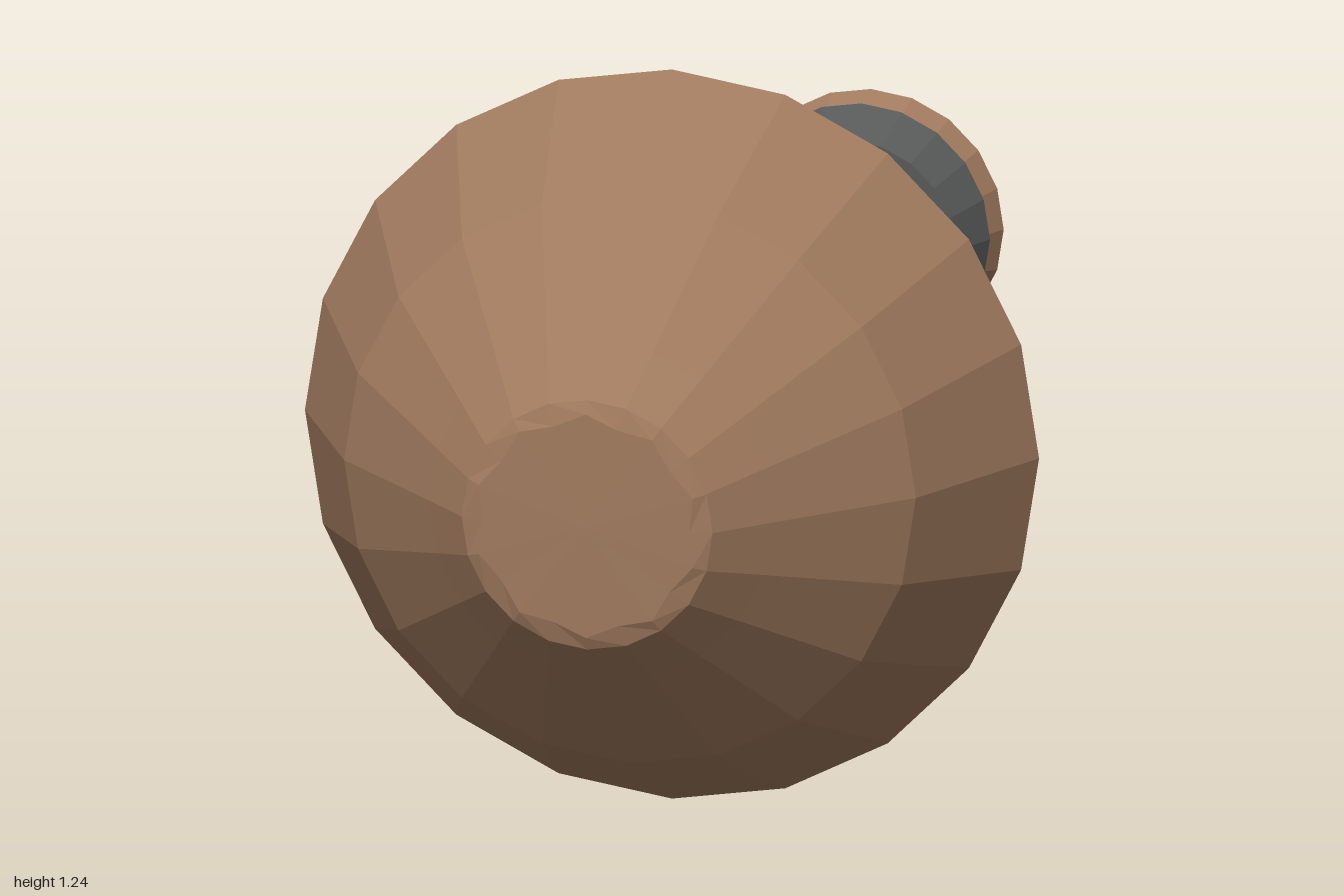
import * as THREE from 'three';

const SIDES = 20;
const AXIS_Y = 0.62;

// Turn a [z, radius] profile (listed back to front) around the long axis.
function turned(name, profile, color, scallopRings = []) {
  const points = profile.map(([z, r]) => new THREE.Vector2(r, z));
  const geometry = new THREE.LatheGeometry(points, SIDES);
  const pos = geometry.attributes.position;
  // Pull in every other vertex of the chosen rings for scalloped end caps.
  for (const ring of scallopRings) {
    for (let i = 1; i < SIDES; i += 2) {
      const v = i * points.length + ring;
      pos.setXYZ(v, pos.getX(v) * 0.92, pos.getY(v), pos.getZ(v) * 0.92);
    }
  }
  geometry.rotateX(Math.PI / 2);
  const mesh = new THREE.Mesh(geometry, new THREE.MeshStandardMaterial({ color, flatShading: true }));
  mesh.name = name;
  mesh.position.y = AXIS_Y;
  return mesh;
}

export function createModel() {
  const model = new THREE.Group();
  model.name = 'gourdFlask';

  // Bulb, neck and flared mouth in one turned shell
  const shell = [
    [-1, 0], [-0.995, 0.185], [-0.985, 0.2], [-0.94, 0.224], [-0.87, 0.19],
    [-0.79, 0.155], [-0.6, 0.086], [-0.5, 0.11], [-0.4, 0.132], [-0.17, 0.275],
    [0.115, 0.493], [0.41, 0.62], [0.695, 0.483], [0.9, 0.29], [0.985, 0.212],
    [0.995, 0.19], [1, 0],
  ];
  model.add(turned('flaskBody', shell, 0xa07a5e, [1, shell.length - 2]));

  // Tapered collars around the neck: back z, back radius, front z, front radius
  const bands = [
    ['mouthBand', -0.875, 0.217, -0.79, 0.178],
    ['middleBand', -0.695, 0.136, -0.6, 0.098],
    ['neckBand', -0.495, 0.122, -0.4, 0.146],
  ];
  for (const [name, z0, r0, z1, r1] of bands) {
    model.add(turned(name, [[z0, 0.05], [z0, r0], [z1, r1], [z1, 0.05]], 0x585a5a));
  }
  return model;
}
